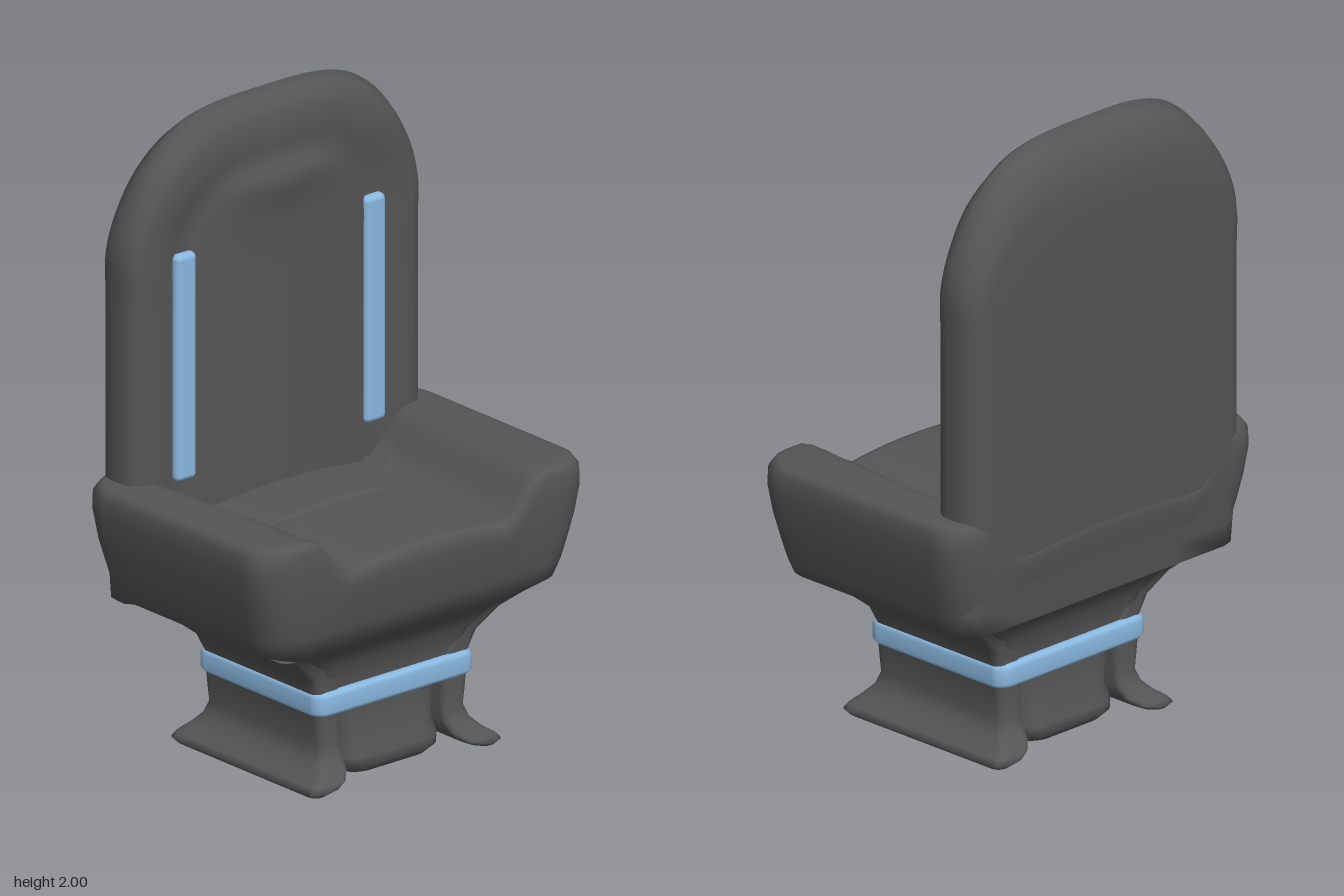
import * as THREE from 'three';
import { RoundedBoxGeometry } from 'three/addons/geometries/RoundedBoxGeometry.js';

const dark = new THREE.MeshStandardMaterial({ color: 0x555555 });
const blue = new THREE.MeshStandardMaterial({ color: 0x8ab8e0 });

// Skin a list of closed rings (equal point counts), optionally capping both ends
function loft(rings, capped = true) {
  const n = rings[0].length, pos = [], idx = [];
  const add = p => { pos.push(p.x, p.y, p.z); return pos.length / 3 - 1; };
  rings.forEach(r => r.forEach(add));
  for (let j = 0; j < rings.length - 1; j++) {
    for (let i = 0; i < n; i++) {
      const k = (i + 1) % n, a = j * n + i, b = j * n + k;
      idx.push(a, b, b + n, a, b + n, a + n);
    }
  }
  if (capped) {
    [[rings[0], true], [rings[rings.length - 1], false]].forEach(([ring, flip]) => {
      const mid = ring.reduce((s, p) => s.add(p), new THREE.Vector3()).divideScalar(n);
      const c = add(mid), first = pos.length / 3;
      ring.forEach(add);
      for (let i = 0; i < n; i++) {
        const a = first + i, b = first + (i + 1) % n;
        idx.push(c, ...(flip ? [b, a] : [a, b]));
      }
    });
  }
  const g = new THREE.BufferGeometry();
  g.setAttribute('position', new THREE.Float32BufferAttribute(pos, 3));
  g.setIndex(idx);
  g.computeVertexNormals();
  return g;
}

// Horizontal rounded rectangle with evenly divided sides
function roundedRing(y, hx, hz, radius, cz = 0) {
  const r = Math.min(radius, hx * 0.95, hz * 0.95), out = [], arc = 6;
  const corners = [[1, -1], [-1, -1], [-1, 1], [1, 1]];
  corners.forEach(([sx, sz], q) => {
    for (let i = 0; i <= arc; i++) {
      const a = (q + i / arc) * Math.PI / 2;
      out.push(new THREE.Vector3(sx * (hx - r) + r * Math.cos(a), y, cz + sz * (hz - r) - r * Math.sin(a)));
    }
    const [nx, nz] = corners[(q + 1) % 4], a = (q + 1) * Math.PI / 2;
    const from = out[out.length - 1];
    const to = new THREE.Vector3(nx * (hx - r) + r * Math.cos(a), y, cz + nz * (hz - r) - r * Math.sin(a));
    const steps = q % 2 ? 28 : 10;
    for (let i = 1; i < steps; i++) out.push(from.clone().lerp(to, i / steps));
  });
  return out;
}

// Seat with padded arms: arms stay high, the middle is lowered into a crowned cushion
function seatGeometry() {
  const rows = [
    [0.25, 0.255, 0.27, 0.04], [0.32, 0.258, 0.28, 0.04], [0.38, 0.275, 0.31, 0.05],
    [0.43, 0.30, 0.39, 0.07], [0.47, 0.345, 0.49, 0.09], [0.51, 0.39, 0.57, 0.1],
    [0.56, 0.405, 0.59, 0.11], [0.62, 0.415, 0.605, 0.11], [0.7, 0.422, 0.628, 0.11],
    [0.79, 0.43, 0.643, 0.11], [0.845, 0.427, 0.643, 0.11], [0.868, 0.415, 0.63, 0.11],
  ];
  for (const d of [0.035, 0.07, 0.11, 0.14, 0.17, 0.2, 0.23, 0.26, 0.3, 0.35, 0.41]) {
    rows.push([0.875, 0.43 - d, 0.645 - d, Math.max(0.02, 0.11 - d)]);
  }
  const rings = rows.map(row => roundedRing(...row));
  rings.flat().forEach(p => {
    if (p.y <= 0.6) return;
    const z = Math.abs(p.z), shift = 0.06 * (0.43 - p.x) / 0.86;
    const arm = THREE.MathUtils.smoothstep(z, 0.3 + shift, 0.45 + shift);
    const cushion = 0.74 + 0.028 * Math.max(0, 1 - (z / 0.32) ** 2);
    const low = (cushion - 0.6) / 0.275;
    p.y = 0.6 + (p.y - 0.6) * THREE.MathUtils.lerp(low, 1, arm);
  });
  return loft(rings);
}

// Arched backrest: outlines stacked from back to front, ending in a swelling panel
function backGeometry() {
  const half = [[1, 0.2], [0.93, 0.46], [0.79, 0.72], [0.58, 0.91], [0.35, 0.985]];
  const outline = (x, hw, top) => {
    const side = [[1, 0.5], [1, 0.8], [1, 1.15], [1, 1.45]]
      .concat(half.map(([z, f]) => [z, 1.5 + (top - 1.5) * f]));
    const pts = [
      ...side.map(([z, y]) => new THREE.Vector3(x, y, -z * hw)),
      new THREE.Vector3(x, top, 0),
      ...side.slice().reverse().map(([z, y]) => new THREE.Vector3(x, y, z * hw)),
    ];
    return new THREE.CatmullRomCurve3(pts, false, 'centripetal').getPoints(72);
  };
  const rows = [
    [-0.43, 0, 1.7], [-0.43, 0.3, 1.74], [-0.43, 0.5, 1.82], [-0.418, 0.54, 1.89],
    [-0.39, 0.565, 1.95], [-0.355, 0.571, 1.98], [-0.32, 0.572, 2.0], [-0.29, 0.566, 1.98],
    [-0.267, 0.55, 1.95], [-0.257, 0.52, 1.92], [-0.256, 0.47, 1.88], [-0.262, 0.42, 1.84],
    [-0.27, 0.4, 1.82], [-0.268, 0.345, 1.78], [-0.252, 0.32, 1.76], [-0.243, 0.2, 1.73],
    [-0.24, 0.1, 1.71], [-0.238, 0, 1.7],
  ];
  const rings = rows.map(row => outline(...row));
  rings.forEach((ring, j) => ring.forEach(p => {
    // headrest swelling on the front, slight tuck at the foot of the back
    if (j > 7) p.x += 0.028 * Math.exp(-(((p.y - 1.77) / 0.11) ** 2)) * Math.max(0, 1 - Math.abs(p.z) / 0.55);
    if (j < 7) p.x += Math.max(0, 0.75 - p.y) * 0.1;
  }));
  return loft(rings, false);
}

export function createModel() {
  const model = new THREE.Group();
  const add = (name, geometry, material) => {
    const mesh = new THREE.Mesh(geometry, material);
    mesh.name = name;
    model.add(mesh);
    return mesh;
  };

  add('seatAndArms', seatGeometry(), dark);
  add('backrest', backGeometry(), dark);

  // Central pedestal
  add('pedestal', loft([
    [0, 0.2, 0.12], [0.015, 0.26, 0.165], [0.04, 0.28, 0.188], [0.07, 0.28, 0.19],
    [0.12, 0.262, 0.183], [0.2, 0.255, 0.197], [0.28, 0.255, 0.2],
  ].map(([y, hx, hz]) => roundedRing(y, hx, hz, 0.07))), dark);

  // Flared side legs running from the feet up to the underside of the seat
  const legRows = [
    [0.004, 0.3, 0.36, 0.32], [0.02, 0.26, 0.372, 0.335], [0.035, 0.23, 0.36, 0.328],
    [0.06, 0.205, 0.325, 0.305], [0.09, 0.2, 0.297, 0.28], [0.13, 0.2, 0.283, 0.266],
    [0.2, 0.2, 0.292, 0.266], [0.3, 0.2, 0.303, 0.264], [0.36, 0.22, 0.335, 0.266],
    [0.42, 0.28, 0.41, 0.285], [0.46, 0.34, 0.475, 0.32],
  ];
  for (const s of [1, -1]) {
    const side = s > 0 ? 'left' : 'right';
    add(side + 'Leg', loft(legRows.map(([y, zi, zo, hx]) =>
      roundedRing(y, hx, (zo - zi) / 2, 0.03, s * (zi + zo) / 2))), dark);

    // Coloured strip between rim and back panel
    const strip = add(side + 'BackStrip', new RoundedBoxGeometry(0.05, 0.72, 0.08, 4, 0.018), blue);
    strip.position.set(-0.268, 1.215, s * 0.37);
  }

  // Coloured band around the pedestal
  add('band', loft([
    [0.23, 0.268], [0.234, 0.278], [0.245, 0.284], [0.29, 0.284], [0.301, 0.278], [0.305, 0.268],
  ].map(([y, hx]) => roundedRing(y, hx, hx + 0.026, 0.045))), blue);

  return model;
}
